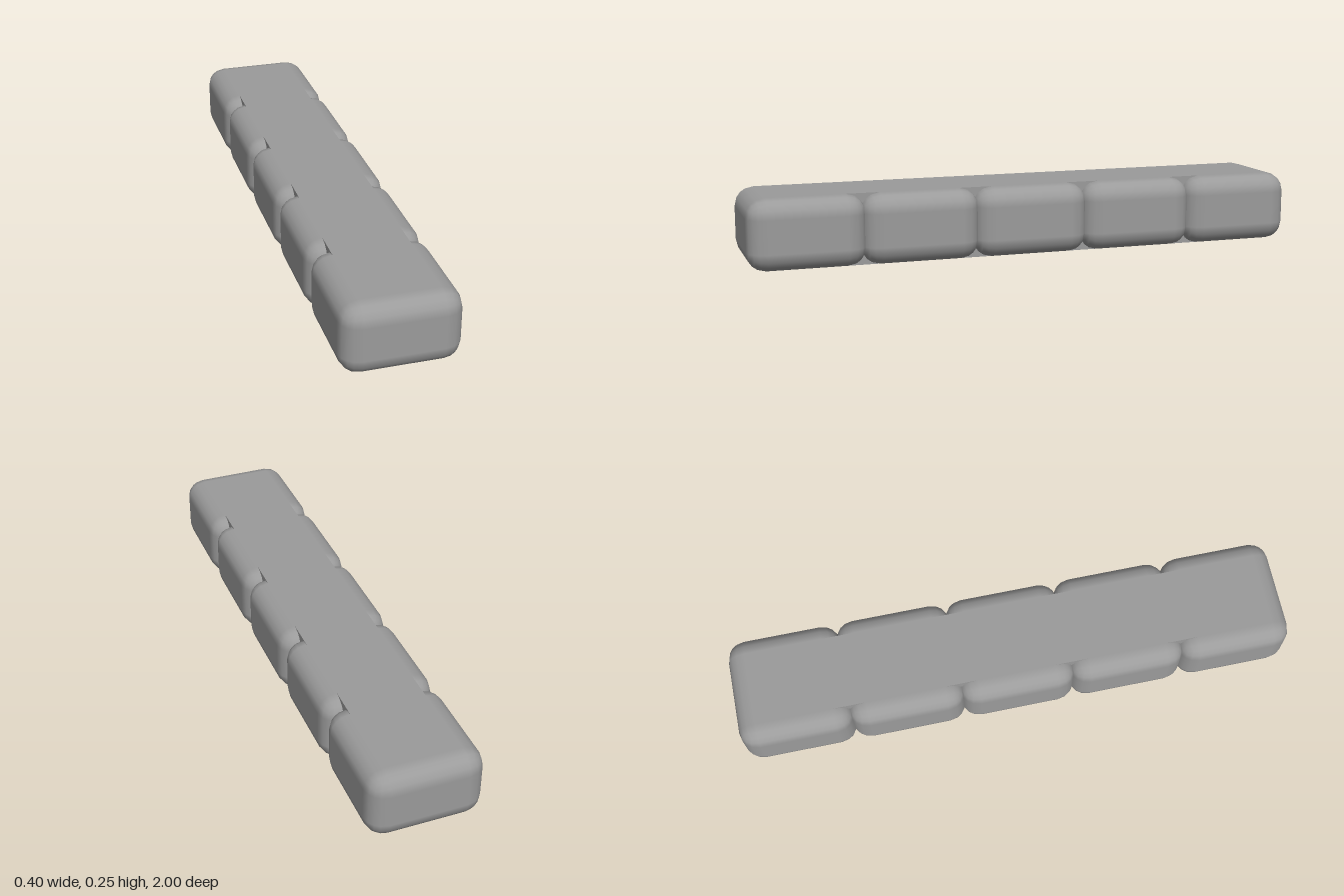
import * as THREE from 'three';
import { RoundedBoxGeometry } from 'three/addons/geometries/RoundedBoxGeometry.js';

const WIDTH = 0.4, HEIGHT = 0.25, RADIUS = 0.067, COUNT = 5, PITCH = 0.4, OVERLAP = 0.008;

export function createModel() {
  const model = new THREE.Group();
  model.name = 'segmentedBar';
  const material = new THREE.MeshStandardMaterial({ color: 0x9b9b9b });

  // Row of soft-edged blocks, overlapping slightly at each joint
  for (let i = 0; i < COUNT; i++) {
    const start = -1 + i * PITCH - (i > 0 ? OVERLAP : 0);
    const end = -1 + (i + 1) * PITCH + (i < COUNT - 1 ? OVERLAP : 0);
    const block = new THREE.Mesh(
      new RoundedBoxGeometry(WIDTH, HEIGHT, end - start, 2, RADIUS), material);
    block.name = `block${i + 1}`;
    block.position.set(0, HEIGHT / 2, (start + end) / 2);
    model.add(block);
  }

  // Flat bridges across the joints, leaving notches only along the sides
  for (let i = 1; i < COUNT; i++) {
    const bridge = new THREE.Mesh(
      new THREE.BoxGeometry(WIDTH - 2 * RADIUS, HEIGHT, 2 * RADIUS), material);
    bridge.name = `bridge${i}`;
    bridge.position.set(0, HEIGHT / 2, -1 + i * PITCH);
    model.add(bridge);
  }
  return model;
}
